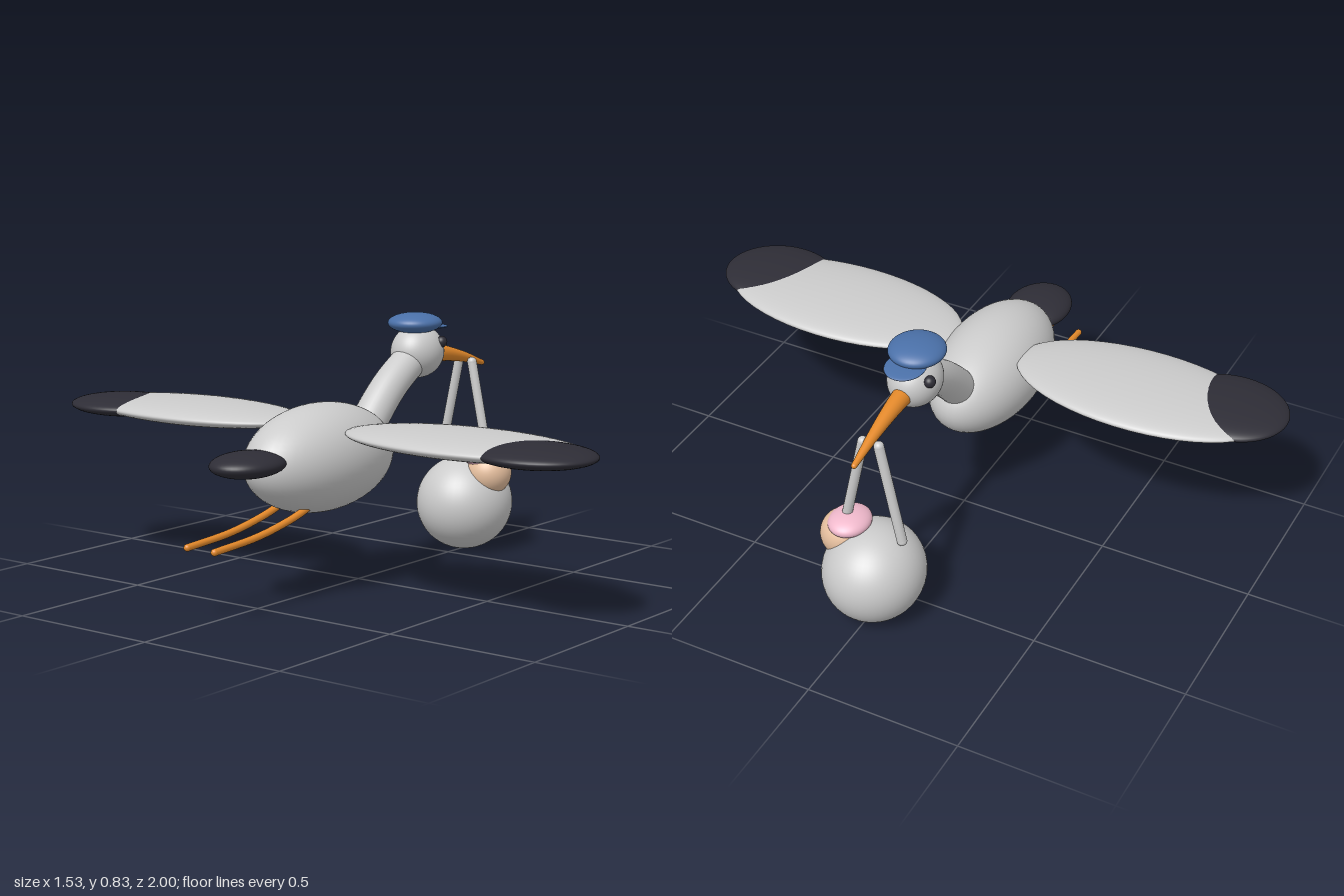
import * as THREE from 'three';

const paint = (color) => new THREE.MeshStandardMaterial({ color });
const grey = paint(0xcccccc);
const dark = paint(0x2e2d36);
const orange = paint(0xe58a2b);
const blue = paint(0x4a70a8);
const pink = paint(0xf0b9cc);
const skin = paint(0xe8c1a0);

export function createModel() {
  const model = new THREE.Group();

  const add = (name, geometry, material) => {
    const mesh = new THREE.Mesh(geometry, material);
    mesh.name = name;
    model.add(mesh);
    return mesh;
  };

  // Sphere stretched to three radii
  const ellipsoid = (name, material, center, radii) => {
    const mesh = add(name, new THREE.SphereGeometry(1, 48, 32), material);
    mesh.position.set(...center);
    mesh.scale.set(...radii);
    return mesh;
  };

  // Round tube along a smooth path, tapering from r0 to r1, with ball ends
  const limb = (name, material, points, r0, r1 = r0, sides = 24) => {
    const path = new THREE.CatmullRomCurve3(points.map((p) => new THREE.Vector3(...p)));
    const steps = 32;
    const geometry = new THREE.TubeGeometry(path, steps, 1, sides);
    const pos = geometry.attributes.position;
    const v = new THREE.Vector3();
    for (let i = 0; i < pos.count; i++) {
      const t = Math.floor(i / (sides + 1)) / steps;
      const c = path.getPointAt(t);
      v.fromBufferAttribute(pos, i).sub(c).multiplyScalar(r0 + (r1 - r0) * t).add(c);
      pos.setXYZ(i, v.x, v.y, v.z);
    }
    geometry.computeBoundingSphere();
    add(name, geometry, material);
    ellipsoid(name + 'Start', material, points[0], [r0, r0, r0]);
    ellipsoid(name + 'End', material, points[points.length - 1], [r1, r1, r1]);
  };

  // Bird torso, tail, neck and head
  ellipsoid('body', grey, [-0.197, 0.425, 0], [0.313, 0.17, 0.167]);
  ellipsoid('tail', dark, [-0.54, 0.45, 0], [0.132, 0.04, 0.105]);
  limb('neck', grey, [[0, 0.44, 0], [0.08, 0.53, 0], [0.17, 0.612, 0], [0.3, 0.695, 0]], 0.06, 0.056, 32);
  ellipsoid('head', grey, [0.317, 0.705, 0], [0.097, 0.087, 0.083]);
  limb('beak', orange, [[0.36, 0.694, 0], [0.46, 0.684, 0], [0.58, 0.66, 0], [0.69, 0.629, 0]], 0.034, 0.009);

  // Cap with peak
  ellipsoid('cap', blue, [0.303, 0.8, 0], [0.092, 0.034, 0.088]);
  ellipsoid('capPeak', blue, [0.376, 0.783, 0], [0.071, 0.009, 0.063]).rotation.z = -0.05;

  // Mirrored parts: eyes, wings, legs, sling straps
  for (const [side, s] of [['left', 1], ['right', -1]]) {
    const flip = (x, y, z) => [x, y, z * s];
    const label = (part) => side + part;
    ellipsoid(label('Eye'), dark, flip(0.355, 0.737, 0.069), [0.019, 0.019, 0.019]);
    ellipsoid(label('Wing'), grey, flip(-0.173, 0.52, 0.53), [0.207, 0.037, 0.42]);
    ellipsoid(label('WingTip'), dark, flip(-0.215, 0.52, 0.81), [0.165, 0.034, 0.19]);
    limb(label('Leg'), orange, [
      flip(-0.27, 0.31, 0.053), flip(-0.36, 0.278, 0.053), flip(-0.46, 0.255, 0.053),
      flip(-0.57, 0.238, 0.053), flip(-0.755, 0.226, 0.053),
    ], 0.012, 0.011, 16);
    limb(label('Strap'), grey, [flip(0.592, 0.643, 0.027), flip(0.592, 0.31, 0.098)], 0.016, 0.016, 16);
  }

  // Carried bundle with baby
  ellipsoid('bundle', grey, [0.594, 0.16, 0], [0.17, 0.16, 0.16]);
  ellipsoid('babyHead', skin, [0.594, 0.272, 0.098], [0.078, 0.077, 0.077]);
  ellipsoid('babyBonnet', pink, [0.594, 0.323, 0.08], [0.077, 0.033, 0.065]);

  return model;
}
